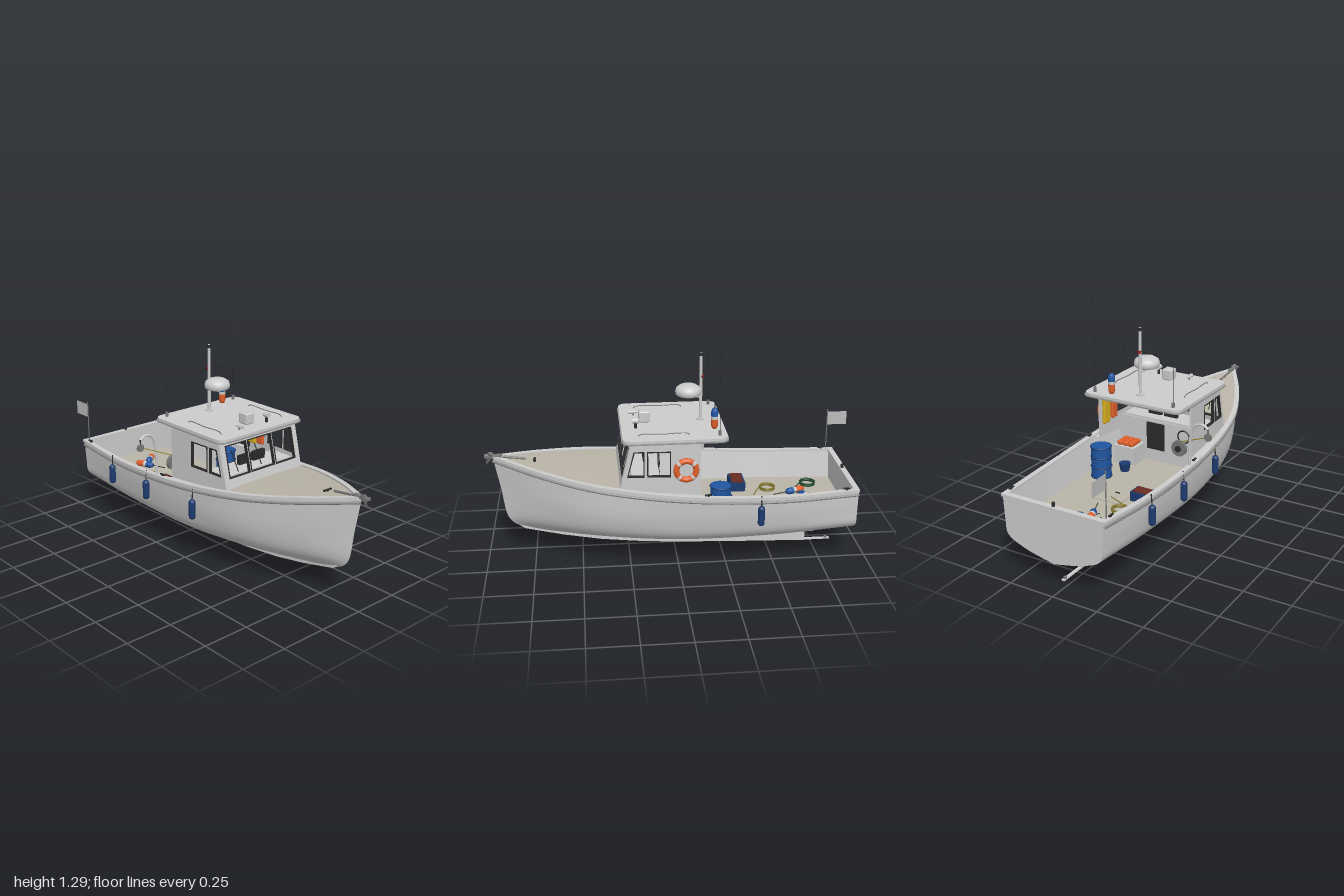
import * as THREE from 'three';
import { toCreasedNormals } from 'three/addons/utils/BufferGeometryUtils.js';
import { RoundedBoxGeometry } from 'three/addons/geometries/RoundedBoxGeometry.js';

const V = (x, y, z) => new THREE.Vector3(x, y, z);
const GREY = 0xcccccc, DARK = 0x2b2b2b, STEEL = 0x777777, BEIGE = 0xb9b4a6, NAVY = 0x1c3a6e, BLUE = 0x1f55a0, ORANGE = 0xe0602a, YELLOW = 0xd8b020;

export function createModel() {
  const model = new THREE.Group();
  const boat = new THREE.Group();
  boat.name = 'boat';
  boat.position.x = 0.042; // side gear makes the boat sit off centre
  model.add(boat);

  const add = (name, geo, color = GREY, pos = [0, 0, 0], parent = boat, double = false) => {
    const m = new THREE.Mesh(geo, new THREE.MeshStandardMaterial({ color, side: double ? THREE.DoubleSide : THREE.FrontSide }));
    m.name = name;
    m.position.set(...pos);
    parent.add(m);
    return m;
  };
  const box = (name, w, h, d, pos, color, parent) => add(name, new THREE.BoxGeometry(w, h, d), color, pos, parent);
  const cyl = (name, r, h, pos, color, r2 = r, parent = boat) => add(name, new THREE.CylinderGeometry(r2, r, h, 20), color, pos, parent);
  const tube = (name, pts, r, color) =>
    add(name, new THREE.TubeGeometry(new THREE.CatmullRomCurve3(pts.map(p => V(...p))), 32, r, 8), color);
  const rod = (name, a, b, r, color) => {
    const A = V(...a), B = V(...b), m = cyl(name, r, A.distanceTo(B), A.clone().lerp(B, 0.5).toArray(), color);
    m.quaternion.setFromUnitVectors(V(0, 1, 0), B.sub(A).normalize());
  };
  // Surface through rows of points
  const loft = (name, rows, color) => {
    const n = rows[0].length, idx = [];
    for (let i = 0; i < rows.length - 1; i++) for (let j = 0; j < n - 1; j++) {
      const a = i * n + j, b = a + n;
      idx.push(a, b, a + 1, b, b + 1, a + 1);
    }
    const g = new THREE.BufferGeometry().setFromPoints(rows.flat());
    g.setIndex(idx);
    add(name, toCreasedNormals(g, 0.6), color, [0, 0, 0], boat, true);
  };
  const shapeOf = pts => new THREE.Shape(pts.map(p => new THREE.Vector2(...p)));
  const extrude = (s, depth) => new THREE.ExtrudeGeometry(s, { depth, bevelEnabled: false, curveSegments: 8 });

  // Hull: lengthwise lines from keel to sheer, stern to stem
  const lines = [
    [[0, .125, -.925], [0, .09, -.5], [0, .075, 0], [0, .088, .4], [0, .12, .66], [0, .155, .815]],
    [[.17, .165, -.925], [.18, .135, -.5], [.175, .128, 0], [.125, .14, .4], [.055, .155, .67], [0, .175, .855]],
    [[.268, .215, -.925], [.28, .195, -.5], [.272, .188, 0], [.205, .197, .42], [.095, .21, .7], [0, .22, .89]],
    [[.28, .29, -.925], [.31, .29, -.5], [.306, .29, 0], [.248, .3, .42], [.125, .34, .71], [0, .38, .917]],
    [[.287, .41, -.925], [.323, .405, -.5], [.323, .43, 0], [.263, .475, .42], [.15, .515, .7], [0, .555, .95]],
  ].map(l => new THREE.CatmullRomCurve3(l.map(p => V(...p))));
  const section = t => {
    const half = new THREE.CatmullRomCurve3(lines.map(l => l.getPoint(t))).getPoints(20);
    return [...half.slice(1).reverse().map(p => V(-p.x, p.y, p.z)), ...half];
  };
  const steps = [...Array(61).keys()].map(i => i / 60);
  loft('hull', steps.map(section), GREY);
  add('transom', new THREE.ShapeGeometry(shapeOf(section(0).map(p => [p.x, p.y]))), GREY, [0, 0, -.925], boat, true);

  const sheer = lines[4].getPoints(120);
  const sheerAt = z => {
    const i = Math.max(1, sheer.findIndex(p => p.z >= z)), a = sheer[i - 1], b = sheer[i];
    return a.clone().lerp(b, (z - a.z) / (b.z - a.z));
  };
  const stations = (z0, z1, n, f) => [...Array(n + 1).keys()].map(i => { const z = z0 + (z1 - z0) * i / n; return f(z, sheerAt(z)); });

  // Keel, shoe and shaft
  const keel = shapeOf([[.83, .165], [.8, .145], [.6, .098], [.4, .062], [.2, .04], [0, .025], [-.4, .01], [-.72, 0], [-.72, .11], [0, .09], [.45, .105]]);
  add('keel', extrude(keel, .018).rotateY(-Math.PI / 2), GREY, [.009, 0, 0]);
  box('keelShoe', .018, .006, .15, [0, .004, -.785]);
  rod('propellerShaft', [0, .055, -.71], [0, .055, -.77], .006, GREY);
  cyl('rudderBearing', .008, .012, [0, .01, -.84], STEEL);

  // Gunwale cap, rub rail, cockpit liner and cleats on both sides
  const SOLE = .262;
  for (const s of [-1, 1]) {
    const cap = [[.011, 0], [.011, .014], [-.018, .014], [-.018, 0], [.011, 0]];
    loft('gunwaleCap', steps.map(t => lines[4].getPoint(t)).map(p => cap.map(([dx, dy]) => V(s * Math.max(0, p.x + dx), p.y + dy, p.z))), GREY);
    tube('rubRail', sheer.filter((p, i) => i % 8 === 0).map(p => [s * (p.x + .003), p.y - .018, p.z]), .007, 0x8a8a8a);
    loft('cockpitLiner', stations(-.91, .1, 16, (z, p) => [V(s * (p.x - .018), p.y + .005, z), V(s * (p.x - .043), SOLE, z)]), GREY);
    loft('washboard', stations(-.11, .12, 6, (z, p) => [V(s * .27, p.y + .006, z), V(s * (p.x - .015), p.y + .006, z)]), GREY);
    for (const z of [-.86, -.14]) {
      const p = sheerAt(z);
      box('cleat', .008, .007, .035, [s * (p.x - .006), p.y + .022, z], DARK);
      cyl('cleatFoot', .005, .014, [s * (p.x - .006), p.y + .016, z], DARK);
    }
  }
  box('transomCap', .59, .014, .03, [0, .417, -.913]);
  box('transomLiner', .53, .16, .02, [0, .335, -.912]);
  loft('cockpitSole', stations(-.915, .1, 16, (z, p) => [V(-p.x + .043, SOLE, z), V(p.x - .043, SOLE, z)]), BEIGE);
  loft('foredeck', stations(.1, .94, 24, (z, p) => [-1, -.5, 0, .5, 1].map(u => V(u * Math.max(0, p.x - .014), p.y + .006 + .03 * p.x * (1 - u * u), z))), BEIGE);

  // Wheelhouse
  const frame = pts => {
    const cx = pts.reduce((a, p) => a + p[0], 0) / pts.length, cy = pts.reduce((a, p) => a + p[1], 0) / pts.length;
    const s = shapeOf(pts);
    s.holes.push(new THREE.Path(pts.map(([x, y]) => new THREE.Vector2(x - Math.sign(x - cx) * .006, y - Math.sign(y - cy) * .006))));
    return s;
  };
  const panel = (name, outline, windows, parent, turn) => {
    const s = shapeOf(outline);
    windows.forEach(w => s.holes.push(new THREE.Path(w.map(p => new THREE.Vector2(...p)))));
    const place = g => (turn ? g.rotateY(-Math.PI / 2).translate(.006, 0, 0) : g.translate(0, 0, -.006));
    add(name, place(extrude(s, .012)), GREY, [0, 0, 0], parent);
    windows.forEach(w => add('windowFrame', place(extrude(frame(w), .016).translate(0, 0, -.002)), DARK, [0, 0, 0], parent));
  };
  for (const s of [-1, 1]) {
    const side = new THREE.Group();
    side.name = 'wheelhouseSide';
    side.position.x = s * .275;
    side.rotation.y = -s * .05;
    boat.add(side);
    panel('sideWall', [[-.105, .42], [.305, .44], [.305, .46], [.242, .712], [-.105, .712]],
      [[[.178, .53], [.266, .53], [.232, .668], [.178, .668]], [[.045, .53], [.165, .53], [.165, .668], [.045, .668]]], side, true);
  }
  const front = new THREE.Group();
  front.name = 'wheelhouseFront';
  front.position.set(0, .455, .3);
  front.rotation.x = -.235;
  boat.add(front);
  panel('frontWall', [[-.262, -.01], [.262, -.01], [.262, .265], [-.262, .265]],
    [-.162, 0, .162].map(c => { const w = c ? .072 : .084; return [[c - w, .065], [c + w, .065], [c + w, .235], [c - w, .235]]; }), front, false);
  for (const x of [-.19, -.03]) box('wiper', .003, .12, .004, [x, .15, .014], DARK, front).rotation.z = .22;

  // Roof slab with rounded corners, its handrails and antennas
  const slab = (w, d, r) => {
    const s = new THREE.Shape(), a = w / 2, b = d / 2;
    s.moveTo(-a + r, -b).lineTo(a - r, -b).quadraticCurveTo(a, -b, a, -b + r).lineTo(a, b - r).quadraticCurveTo(a, b, a - r, b);
    s.lineTo(-a + r, b).quadraticCurveTo(-a, b, -a, b - r).lineTo(-a, -b + r).quadraticCurveTo(-a, -b, -a + r, -b);
    return s;
  };
  add('roof', extrude(slab(.575, .53, .05), .014).rotateX(-Math.PI / 2), GREY, [0, .716, .02]);
  add('roofRim', extrude(slab(.588, .54, .055), .007).rotateX(-Math.PI / 2), 0x999999, [0, .71, .02]);
  for (const s of [-1, 1]) {
    tube('roofRail', [[s * .213, .728, -.055], [s * .213, .738, -.045], [s * .213, .738, .075], [s * .213, .738, .195], [s * .213, .728, .205]], .0025, STEEL);
    rod('antenna', [s * .235, .73, -.205], [s * .235, s > 0 ? 1.29 : 1.015, -.205], .0016, DARK);
    cyl('antennaBase', .008, .025, [s * .235, .742, -.205], STEEL);
  }

  // Mast, radar and roof gear
  cyl('mast', .009, .365, [0, .912, -.135], GREY, .007);
  cyl('mastLight', .008, .018, [0, 1.085, -.135], DARK);
  cyl('mastBase', .02, .008, [0, .734, -.135], GREY);
  rod('crossbar', [-.095, .97, -.14], [.095, .97, -.14], .0028, DARK);
  for (const s of [-1, 1]) box('crossbarLamp', .012, .017, .012, [s * .092, .968, -.14], DARK);
  cyl('redLight', .009, .014, [0, .966, -.142], 0xa02020);
  box('radarBracket', .03, .012, .09, [0, .862, -.095], GREY);
  const dome = [[0, 0], [.058, 0], [.066, .006], [.068, .022], [.062, .04], [.042, .053], [0, .058]].map(p => new THREE.Vector2(...p));
  add('radarDome', new THREE.LatheGeometry(dome, 32), GREY, [0, .868, -.07]);
  add('roofBox', new RoundedBoxGeometry(.058, .06, .06, 2, .008), GREY, [0, .762, .16]);
  cyl('spotlightStand', .007, .03, [.095, .745, .21], DARK);
  add('spotlight', new THREE.CylinderGeometry(.014, .014, .03, 16).rotateX(Math.PI / 2), GREY, [.095, .77, .21]);
  cyl('hornStand', .004, .02, [-.097, .738, .21], STEEL);
  add('horn', new THREE.CylinderGeometry(.011, .004, .05, 16).rotateX(Math.PI / 2), GREY, [-.097, .748, .21]);

  // Marker buoys: one on the roof, two on the sole
  const buoy = (pos, dir) => {
    const g = new THREE.Group();
    g.name = 'markerBuoy';
    const part = (name, pts, color) => add(name, new THREE.LatheGeometry(pts.map(p => new THREE.Vector2(...p)), 20), color, [0, 0, 0], g);
    part('orangeEnd', [[0, 0], [.012, 0], [.018, .015], [.018, .05]], ORANGE);
    part('whiteBand', [[.018, .05], [.018, .066]], 0xe8e8e8);
    part('blueEnd', [[.018, .066], [.018, .09], [.012, .106], [0, .108]], BLUE);
    cyl('stick', .0025, .08, [0, .147, 0], DARK, .0025, g);
    g.position.set(...pos);
    g.quaternion.setFromUnitVectors(V(0, 1, 0), V(...dir).normalize());
    boat.add(g);
  };
  buoy([.141, .733, -.19], [0, 1, 0]);
  buoy([.074, SOLE + .02, -.75], [-.09, 0, .075]);
  buoy([-.063, SOLE + .02, -.715], [.063, 0, .165]);

  // Life ring with pale bands, on the left wall
  const ring = new THREE.Group();
  ring.name = 'lifeRing';
  ring.position.set(.293, .57, -.03);
  ring.rotation.y = Math.PI / 2;
  boat.add(ring);
  add('ring', new THREE.TorusGeometry(.05, .015, 12, 36), ORANGE, [0, 0, 0], ring);
  for (let i = 0; i < 4; i++) add('ringBand', new THREE.TorusGeometry(.05, .0158, 12, 6, .3), 0xe8e8e8, [0, 0, 0], ring).rotation.z = i * Math.PI / 2 + .63;

  // Fenders hung from the gunwale
  for (const [x, z] of [[.337, -.41], [-.337, -.58], [-.337, -.27], [-.322, .1]]) {
    add('fender', new THREE.CapsuleGeometry(.018, .075, 6, 16), NAVY, [x, .32, z]);
    rod('fenderRope', [x, .37, z], [x * .985, .43, z], .003, DARK);
  }

  // Hauling davit, block and hauler on the right side
  tube('davit', [[-.325, .41, -.19], [-.322, .5, -.19], [-.333, .61, -.19], [-.36, .655, -.19], [-.4, .662, -.19], [-.426, .645, -.19]], .007, GREY);
  add('block', new THREE.CylinderGeometry(.02, .02, .012, 24).rotateX(Math.PI / 2), STEEL, [-.426, .602, -.19]);
  rod('blockHook', [-.426, .645, -.19], [-.426, .61, -.19], .003, DARK);
  rod('haulLine', [-.41, .597, -.19], [-.25, .53, -.155], .0025, 0x9a8a30);
  add('hauler', new THREE.CylinderGeometry(.042, .042, .018, 28).rotateX(Math.PI / 2), STEEL, [-.24, .49, -.15]);
  add('haulerHub', new THREE.CylinderGeometry(.016, .016, .06, 16).rotateX(Math.PI / 2), DARK, [-.24, .49, -.14]);

  // Bulkhead, door, dash and screens
  box('bulkhead', .54, .24, .012, [0, .38, .1]);
  box('cabinDoor', .11, .155, .006, [.045, .41, .091], DARK);
  box('dash', .5, .02, .14, [0, .5, .17]);
  for (const x of [-.015, .085]) box('screen', .08, .05, .02, [x, .54, .16], DARK);
  add('steeringWheel', new THREE.TorusGeometry(.035, .004, 8, 24), DARK, [-.14, .45, .075]);
  box('engineBox', .13, .1, .11, [.18, SOLE + .05, .03], GREY);
  for (const i of [0, 1, 2]) add('lifeVest', new RoundedBoxGeometry(.03, .025, .09, 2, .008), ORANGE, [.145 + i * .035, SOLE + .112, .03]);
  add('oilskin', new RoundedBoxGeometry(.02, .15, .06, 2, .008), YELLOW, [.258, .58, -.07]);
  add('oilskin', new RoundedBoxGeometry(.02, .13, .05, 2, .008), ORANGE, [.255, .58, 0]);

  // Cockpit gear
  cyl('barrel', .054, .175, [.196, SOLE + .088, -.22], BLUE);
  for (const h of [.004, .06, .116, .172]) add('barrelHoop', new THREE.TorusGeometry(.054, .004, 8, 28).rotateX(Math.PI / 2), NAVY, [.196, SOLE + h, -.22]);
  cyl('bucket', .024, .045, [.125, SOLE + .023, -.1], NAVY, .032);
  box('crate', .138, .05, .08, [-.165, SOLE + .025, -.36], NAVY);
  box('crateLid', .118, .006, .062, [-.165, SOLE + .052, -.36], 0x6a2c22);
  box('soleHatch', .15, .004, .15, [0, SOLE + .002, -.395], BEIGE);
  box('hatchHandle', .025, .005, .006, [0, SOLE + .006, -.365], DARK);
  const coil = (x, z, color, tail) => {
    for (const [r, y] of [[.04, .005], [.037, .011], [.041, .017]]) add('ropeCoil', new THREE.TorusGeometry(r, .004, 8, 32).rotateX(Math.PI / 2), color, [x, SOLE + y, z]);
    tube('ropeTail', [[x - .03, SOLE + .006, z + .03], [x + .02, SOLE + .006, z + .06], tail], .003, color);
  };
  coil(-.157, -.76, 0x234a30, [-.08, SOLE + .005, -.64]);
  coil(-.117, -.525, 0x847830, [.005, SOLE + .005, -.42]);

  // Flag on its staff at the right stern corner
  rod('flagStaff', [-.28, .41, -.887], [-.28, .66, -.887], .003, STEEL);
  box('flag', .003, .075, .108, [-.28, .607, -.942], 0xbbbbbb);
  cyl('sternLight', .008, .025, [0, .432, -.91], DARK);

  // Anchor on its bow roller, and bow cleat
  rod('anchorShank', [0, .545, .78], [0, .572, .985], .006, STEEL);
  box('bowRoller', .028, .012, .09, [0, .566, .948], STEEL);
  add('anchorFluke', new THREE.ConeGeometry(.022, .07, 4), STEEL, [0, .548, .972]).rotation.x = Math.PI - .5;
  box('bowCleat', .055, .006, .01, [0, .537, .735], DARK);
  cyl('bowCleatFoot', .008, .02, [0, .528, .735], DARK);
  return model;
}
